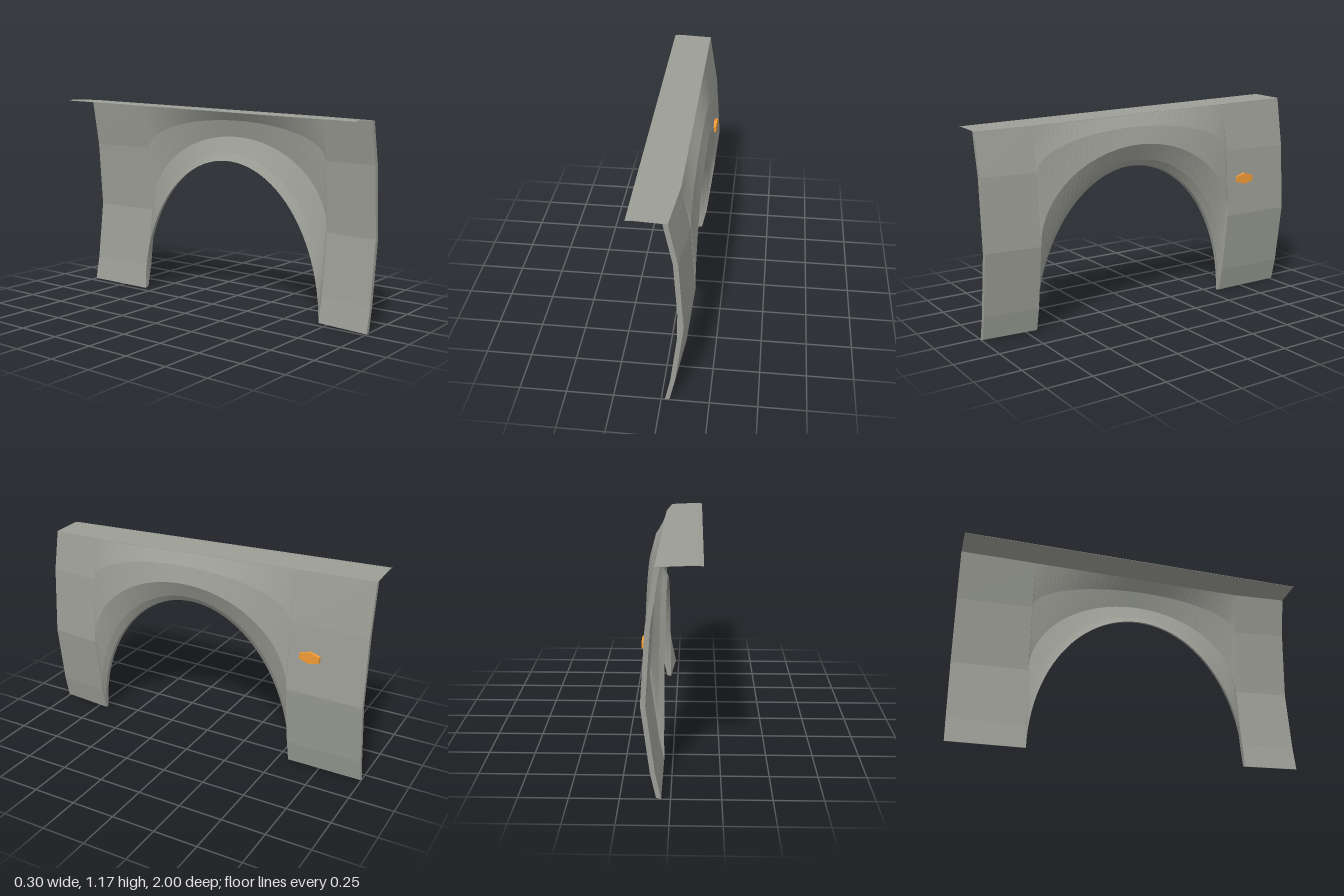
import * as THREE from 'three';

// Skin a list of closed sections (counter-clockwise seen from +z), running from +z to -z, and cap both ends.
function loft(sections) {
  const n = sections[0].length, last = (sections.length - 1) * n, index = [];
  for (let i = 0; i < last; i += n) {
    for (let k = 0; k < n; k++) {
      const a = i + k, b = i + (k + 1) % n, c = b + n, d = a + n;
      index.push(a, d, c, a, c, b);
    }
  }
  for (let k = 0; k < n / 2 - 1; k++) {
    const a = k, b = k + 1, c = n - 2 - k, d = n - 1 - k;
    index.push(a, b, c, a, c, d);
    index.push(last + a, last + c, last + b, last + a, last + d, last + c);
  }
  const geometry = new THREE.BufferGeometry();
  geometry.setAttribute('position', new THREE.Float32BufferAttribute(sections.flat(2), 3));
  geometry.setIndex(index);
  geometry.computeVertexNormals();
  return geometry;
}

const THICK = 0.025;
const ARCH_Z = 0.064, ARCH_R = 0.629;
const TAPER = -0.027; // the front end leans inward
const topY = (z) => 1.1365 - 0.0285 * z;

// Outer profile: [x, height on the legs, height above the arch centre]
const PROFILE = [
  [0.071, 0.007, 0.85],
  [0.1, 0.14, 0.885],
  [0.144, 0.49, 0.977],
  [0.118, 0.88, 1.072],
];

// Panel section at z; rise goes from 0 on the legs to 1 at the top of the arch
function panelSection(z, rise, dx = 0) {
  const outer = PROFILE.map(([x, leg, arch]) => [x + dx, THREE.MathUtils.lerp(leg, arch, rise), z]);
  outer.push([0.071 + dx, topY(z), z]);
  const inner = outer.map(([x, y], i) => [x - THICK, i === 0 ? y - 0.007 : y, z]).reverse();
  return [...outer, ...inner];
}

// Thin inward flange with a slightly folded inner edge
function flangeSection(z, dx = 0) {
  const y = topY(z), t = 0.002;
  const top = [[0.072 + dx, y], [-0.125, y + 0.008], [-0.153, y + 0.004]];
  const bottom = top.map(([x, h]) => [x, h - t]).reverse();
  return [...bottom, ...top].map(([x, h]) => [x, h, z]);
}

export function createModel() {
  const group = new THREE.Group();
  const body = new THREE.MeshStandardMaterial({ color: 0x9b9d95, flatShading: true, side: THREE.DoubleSide });
  const add = (name, geometry, material) => {
    const mesh = new THREE.Mesh(geometry, material);
    mesh.name = name;
    group.add(mesh);
    return mesh;
  };

  // Fender panel: front leg, flared wheel arch, rear leg
  const sections = [panelSection(1, 0, TAPER)];
  const steps = 48;
  for (let i = 0; i <= steps; i++) {
    const a = (i / steps) * Math.PI;
    sections.push(panelSection(ARCH_Z + ARCH_R * Math.cos(a), Math.sin(a)));
  }
  sections.push(panelSection(-1, 0));
  add('fenderPanel', loft(sections), body);

  // Top flange
  const flange = [flangeSection(1, TAPER), flangeSection(ARCH_Z + ARCH_R), flangeSection(-1)];
  add('topFlange', loft(flange), body);

  // Six-sided side marker lamp with upright ends, set on the rear leg at a slight angle
  const lamp = new THREE.CylinderGeometry(1, 1, 0.02, 6);
  lamp.rotateY(Math.PI / 6);
  lamp.rotateZ(-Math.PI / 2);
  lamp.scale(1, 0.033, 0.0655);
  lamp.rotateY(-0.06);
  const marker = add('sideMarker', lamp, new THREE.MeshStandardMaterial({ color: 0xf09a35, flatShading: true }));
  marker.position.set(0.136, 0.705, -0.69);

  return group;
}
